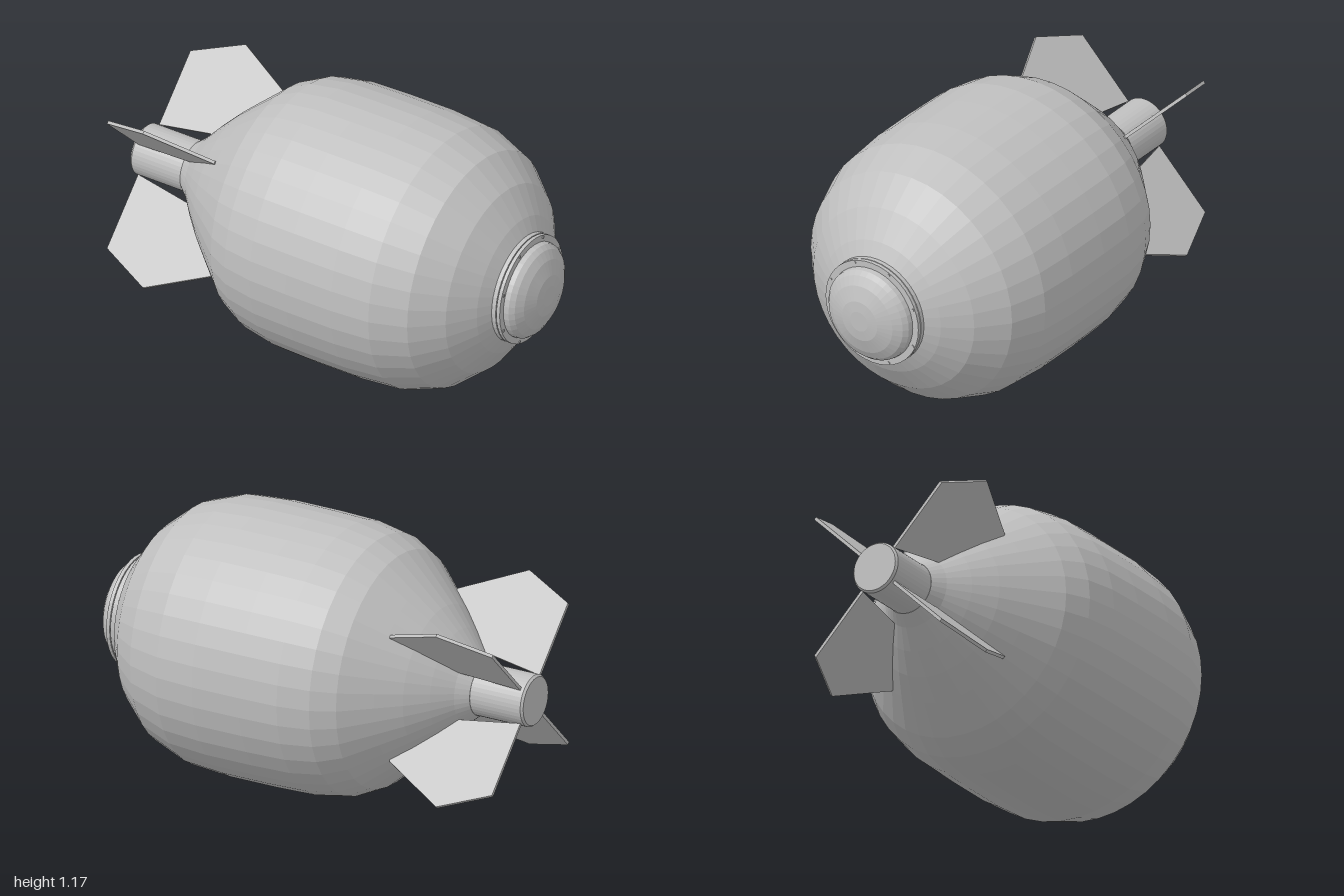
import * as THREE from 'three';

const steel = new THREE.MeshStandardMaterial({ color: 0xc0c0c0, flatShading: true });
steel.name = 'steelGrey';

// Turned part from [position along the axis, radius] pairs
function turned(name, profile, segments = 40) {
  const points = profile.map(([x, r]) => new THREE.Vector2(r, x));
  const mesh = new THREE.Mesh(new THREE.LatheGeometry(points, segments), steel);
  mesh.rotation.z = -Math.PI / 2;
  mesh.name = name;
  return mesh;
}

export function createModel() {
  const model = new THREE.Group();
  model.name = 'finnedBomb';
  const axis = new THREE.Group();
  axis.name = 'bombAssembly';
  axis.position.y = 0.587;
  model.add(axis);

  // Barrel-shaped casing
  axis.add(turned('casing', [
    [-0.75, 0], [-0.75, 0.113], [-0.7, 0.156], [-0.63, 0.235], [-0.55, 0.318], [-0.46, 0.4],
    [-0.34, 0.507], [-0.24, 0.557], [-0.1, 0.582], [0.08, 0.587], [0.3, 0.587],
    [0.48, 0.573], [0.635, 0.517], [0.757, 0.413], [0.837, 0.3], [0.876, 0.225], [0.876, 0],
  ]));

  // Tail tube with a chamfered end
  axis.add(turned('tailTube', [[-1, 0], [-1, 0.104], [-0.99, 0.112], [-0.74, 0.112]]));

  // Two stacked nose rings and the domed cap
  axis.add(turned('noseRingRear', [[0.868, 0], [0.868, 0.238], [0.889, 0.238], [0.889, 0]]));
  axis.add(turned('noseRingGroove', [[0.885, 0.232], [0.896, 0.232]]));
  axis.add(turned('noseRingFront', [[0.893, 0], [0.893, 0.238], [0.909, 0.238], [0.909, 0]]));
  axis.add(turned('noseCap', [
    [0.905, 0.21], [0.932, 0.206], [0.952, 0.19], [0.974, 0.153], [0.995, 0.09], [1, 0.045], [1, 0],
  ]));

  // Eight bolts around the front ring
  const boltGeometry = new THREE.CylinderGeometry(0.006, 0.006, 0.006, 8);
  boltGeometry.rotateZ(-Math.PI / 2);
  for (let i = 0; i < 8; i++) {
    const a = (i + 0.5) * Math.PI / 4;
    const bolt = new THREE.Mesh(boltGeometry, steel);
    bolt.position.set(0.91, 0.228 * Math.cos(a), 0.228 * Math.sin(a));
    bolt.name = 'noseBolt';
    axis.add(bolt);
  }

  // Four tail fins set diagonally, with their roots sunk into the casing
  const outline = [[-0.975, 0.112], [-0.69, 0.157], [-0.46, 0.36], [-0.468, 0.4], [-0.75, 0.548], [-0.975, 0.445]];
  const shape = new THREE.Shape(outline.map(([x, r]) => new THREE.Vector2(x, r)));
  const finGeometry = new THREE.ExtrudeGeometry(shape, { depth: 0.014, bevelEnabled: false });
  finGeometry.translate(0, 0, -0.007);
  for (let i = 0; i < 4; i++) {
    const fin = new THREE.Mesh(finGeometry, steel);
    fin.rotation.x = (i + 0.5) * Math.PI / 2;
    fin.name = 'tailFin';
    axis.add(fin);
  }
  return model;
}
